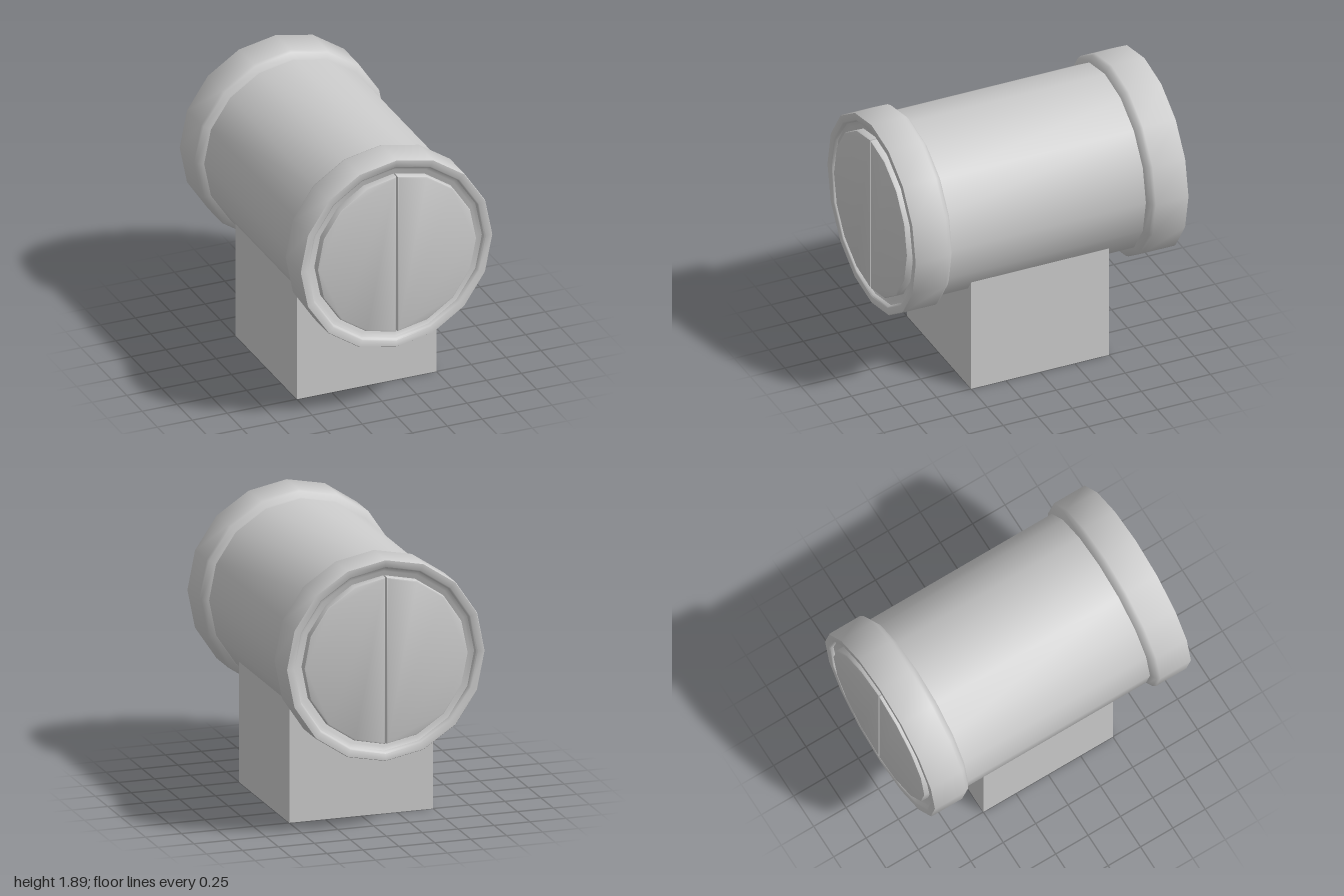
import * as THREE from 'three';
import { toCreasedNormals } from 'three/addons/utils/BufferGeometryUtils.js';

const SIDES = 16;
const AXIS_Y = 1.2;

export function createModel() {
  const model = new THREE.Group();
  const material = new THREE.MeshStandardMaterial({ color: 0xcccccc });

  const add = (parent, name, geometry) => {
    const mesh = new THREE.Mesh(geometry, material);
    mesh.name = name;
    parent.add(mesh);
    return mesh;
  };

  // Lathe a [radius, z] profile around the z axis
  const turned = (profile) => {
    const points = profile.map(([r, z]) => new THREE.Vector2(r, z));
    const geometry = new THREE.LatheGeometry(points, SIDES).rotateX(Math.PI / 2);
    return toCreasedNormals(geometry, 0.7);
  };

  // Half disc with a softly bevelled edge, side = +1 or -1 in x
  const halfDisc = (side) => {
    const radius = 0.57, bevel = 0.012, gap = 0.003;
    const shape = new THREE.Shape();
    for (let i = 0; i <= SIDES / 2; i++) {
      const a = -Math.PI / 2 + (i / (SIDES / 2)) * Math.PI;
      const x = Math.max(Math.cos(a) * (radius - bevel), 0) + (i % 8 === 0 ? gap + bevel : 0);
      const y = Math.sin(a) * (radius - bevel);
      if (i === 0) shape.moveTo(side * x, y);
      else shape.lineTo(side * x, y);
    }
    const geometry = new THREE.ExtrudeGeometry(shape, {
      depth: 0.06, bevelEnabled: true, bevelSize: bevel, bevelThickness: bevel, bevelSegments: 2,
    });
    geometry.translate(0, 0, 1 - 0.06 - bevel);
    return toCreasedNormals(geometry, 0.7);
  };

  // Square pedestal
  add(model, 'pedestal', new THREE.BoxGeometry(1, 0.83, 1)).position.y = 0.415;

  // Main barrel lying along z
  add(model, 'barrel', turned([[0.637, -0.8], [0.637, 0.8]])).position.y = AXIS_Y;

  // Matching ends: flared collar, recessed ring and split cover
  for (const end of ['front', 'back']) {
    const group = new THREE.Group();
    group.name = `${end}End`;
    group.position.y = AXIS_Y;
    group.rotation.y = end === 'front' ? 0 : Math.PI;
    add(group, 'collar', turned([
      [0.632, 0.7], [0.645, 0.706], [0.68, 0.73], [0.69, 0.75],
      [0.69, 0.982], [0.686, 0.988], [0.64, 0.988], [0.632, 0.982],
      [0.625, 0.96], [0.6, 0.945], [0, 0.945],
    ]));
    add(group, 'leftCover', halfDisc(1));
    add(group, 'rightCover', halfDisc(-1));
    model.add(group);
  }

  return model;
}
